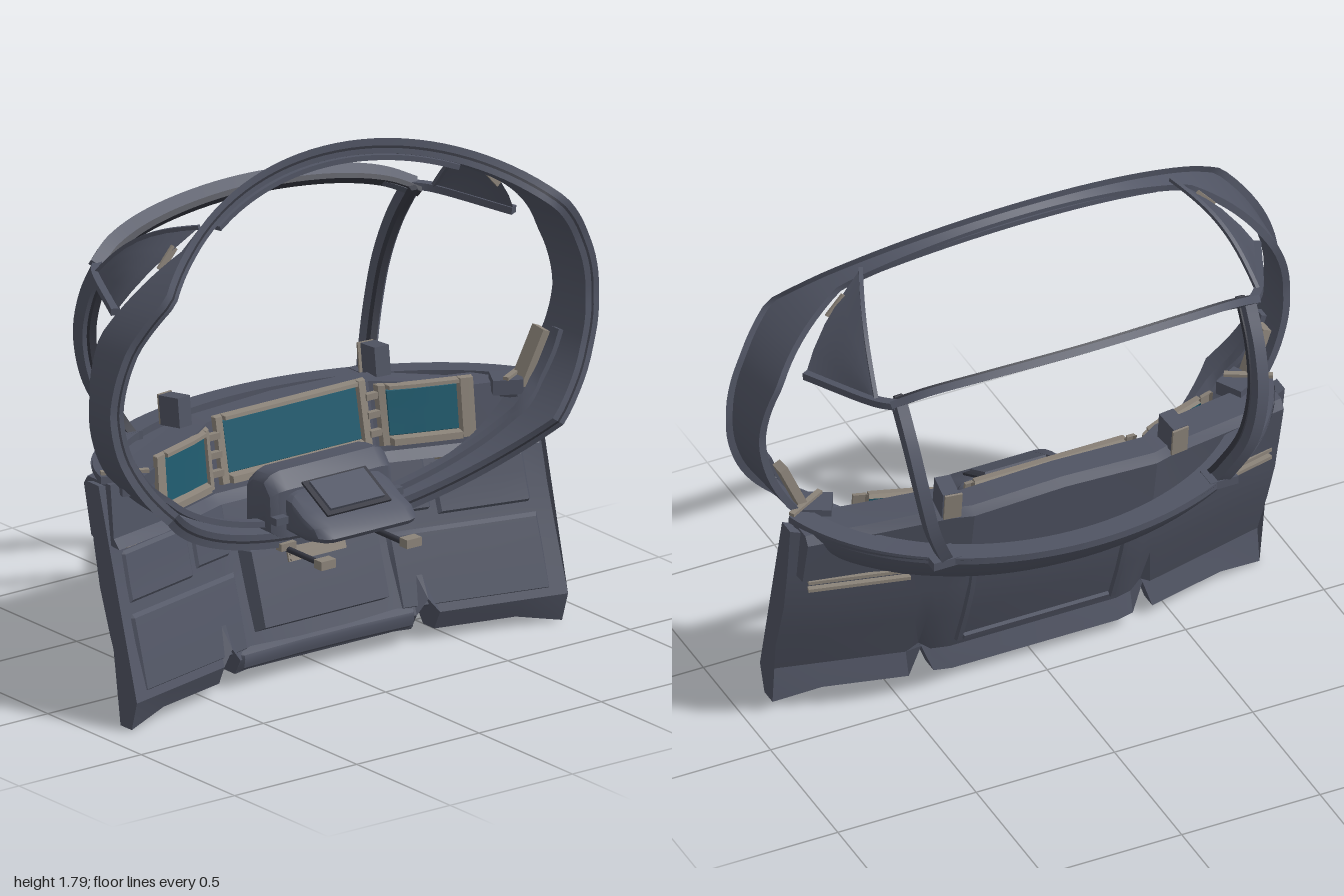
import * as THREE from 'three';
import { toCreasedNormals } from 'three/addons/utils/BufferGeometryUtils.js';

const V = (x, y, z) => new THREE.Vector3(x, y, z);
const paint = (name, color) => {
  const m = new THREE.MeshStandardMaterial({ color, side: THREE.DoubleSide });
  m.name = name;
  return m;
};

// Skin a list of cross-sections, each a list of points
function loft(rows, closed = true, caps = closed, crease = 0.55) {
  const n = rows[0].length, index = [], pos = rows.flat().flatMap(p => [p.x, p.y, p.z]);
  for (let i = 0; i < rows.length - 1; i++) {
    for (let j = 0; j < (closed ? n : n - 1); j++) {
      const a = i * n + j, b = i * n + (j + 1) % n;
      index.push(a, b, b + n, a, b + n, a + n);
    }
  }
  if (caps) for (let j = 1; j < n - 1; j++) {
    const e = (rows.length - 1) * n;
    index.push(0, j + 1, j, e, e + j, e + j + 1);
  }
  const g = new THREE.BufferGeometry();
  g.setAttribute('position', new THREE.Float32BufferAttribute(pos, 3));
  g.setIndex(index);
  return toCreasedNormals(g, crease);
}

// Rectangular beam along a smooth path
function beam(points, width, thick, up = V(0, 1, 0), steps = 28) {
  const curve = new THREE.CatmullRomCurve3(points), rows = [];
  for (let i = 0; i <= steps; i++) {
    const p = curve.getPoint(i / steps), t = curve.getTangent(i / steps);
    const a = t.clone().cross(up).normalize(), b = a.clone().cross(t);
    rows.push([[-1, -1], [1, -1], [1, 1], [-1, 1]].map(([s, r]) =>
      p.clone().addScaledVector(a, s * width / 2).addScaledVector(b, r * thick / 2)));
  }
  return loft(rows);
}

// Raised bevelled plate lying on a surface function
function plate(surface, x0, x1, y0, y1, height, bevel = 0.01) {
  const list = (a, b) => [a, a + bevel, a + (b - a) * 0.35, a + (b - a) * 0.65, b - bevel, b];
  return loft(list(x0, x1).map((x, i) => list(y0, y1).map((y, j) => {
    const p = surface(x, y);
    p.z += i % 5 && j % 5 ? height : 0;
    return p;
  })), false);
}

// Rounded pod: a (z, y) profile swept across x and shrunk towards both ends
function pod(profile, half, cz, cy) {
  const ends = [[1, 0.5], [0.97, 0.75], [0.88, 0.93], [0.75, 1]];
  const stations = [...ends.map(([x, k]) => [-x, k]), ...ends.reverse()];
  return loft(stations.map(([x, k]) => profile.map(([z, y]) => V(x * half, cy + (y - cy) * k, cz + (z - cz) * k))));
}

// Straight table lookup
function lookup(keys, values, t) {
  let i = 0;
  while (i < keys.length - 2 && t > keys[i + 1]) i++;
  const f = THREE.MathUtils.clamp((t - keys[i]) / (keys[i + 1] - keys[i]), 0, 1);
  return values[i] + (values[i + 1] - values[i]) * f;
}

// Oval hoop: front and back edges vary with height
const hoopY = [0.44, 0.6, 0.72, 0.8, 0.95, 1.12, 1.34, 1.5, 1.62, 1.79];
const hoopFront = [0.18, 0.3, 0.395, 0.375, 0.345, 0.333, 0.35, 0.395, 0.305, 0.165];
const hoopBack = [0.13, 0.15, 0.14, 0.125, 0.15, 0.17, 0.155, 0.21, 0.25, 0.145];
function hoopPoint(t, scale, back = 0) {
  const y = 1.115 + 0.675 * Math.sin(t);
  const z = lookup(hoopY, hoopFront, y) * (1 - back) + lookup(hoopY, hoopBack, y) * back;
  return V(scale * Math.cos(t), y - (1 - scale) * 0.95 * Math.sin(t), z);
}
const arc = (from, to, scale, back) => Array.from({ length: 17 }, (_, i) =>
  hoopPoint((from + (to - from) * i / 16) * Math.PI / 180, scale, back));

// Front face of the lower wall: a flat centre with two wings coming forward
const wallBend = x => 0.14 * (1 - Math.max(0, Math.abs(x) - 0.3) / 0.57);
const wallFace = (x, y) => V(x, y, lookup([0.02, 0.1, 0.3, 0.45, 0.6, 0.8], [0.29, 0.31, 0.25, 0.2, 0.16, 0.13], y) - wallBend(x));

// Front face of the instrument console, steeper at the sides
const consoleZ = x => lookup([0, 0.33, 0.64, 0.86], [0, 0, 0.105, 0.15], Math.abs(x));
const consoleTilt = x => lookup([0.33, 0.4], [0.2, 0.1], Math.abs(x));
const consoleFace = (x, y) => V(x, y, consoleZ(x) + 0.02 - (y - 0.62) * consoleTilt(x));

// Curved upper rim of the nose
function rimPoint(u) {
  const f = u * 1.309;
  return V(0.87 * Math.sin(f) / 0.966, 0.785 + 0.03 * u * u, -0.39 + 0.49 * (1 - Math.cos(f)) / 0.741);
}

export function createModel() {
  const model = new THREE.Group();
  const grey = paint('slate grey', 0x505463), dark = paint('dark slate', 0x343640);
  const tan = paint('warm grey', 0x8b8379), teal = paint('screen teal', 0x205b6e);
  const add = (name, geometry, material = grey) => {
    const m = new THREE.Mesh(geometry, material);
    m.name = name;
    model.add(m);
    return m;
  };
  const box = (name, w, h, d, x, y, z, material) => {
    const m = add(name, new THREE.BoxGeometry(w, h, d), material);
    m.position.set(x, y, z);
    return m;
  };

  // Hoop: thin shell, outer flange and inner seals
  const turns = Array.from({ length: 121 }, (_, i) => i / 120 * Math.PI * 2);
  add('hoopShell', loft(turns.map(t => [hoopPoint(t, 0.975), hoopPoint(t, 0.96, 1), hoopPoint(t, 0.935, 1), hoopPoint(t, 0.945)]), true, false));
  add('hoopFlange', loft(turns.map(t => [1, 0.97].map(s => hoopPoint(t, s))), false));
  add('hoopGroove', loft(turns.map(t => [0.975, 0.966].map(s => hoopPoint(t, s).add(V(0, 0, 0.004)))), false), dark);
  add('upperTrim', beam(arc(58, 122, 0.935, 0.3), 0.04, 0.018));
  for (const [a, b] of [[-12, -78], [192, 258]]) add('lowerTrim', beam(arc(a, b, 0.915, 0.5), 0.04, 0.02));

  // Windscreen header: a tilted strip with a dark inner seal
  const header = [V(-0.65, 1.41, -0.19), V(-0.55, 1.455, -0.235), V(-0.35, 1.493, -0.285), V(0, 1.512, -0.315),
    V(0.35, 1.493, -0.285), V(0.55, 1.455, -0.235), V(0.65, 1.41, -0.19)];
  add('headerBar', beam(header, 0.065, 0.025, V(0, 0.77, 0.64), 40));
  add('headerSeal', beam(header.map(p => p.clone().add(V(0, -0.012, 0.022))), 0.02, 0.03, V(0, 0.77, 0.64), 40), dark);

  for (const s of [-1, 1]) {
    // Bowed pillar and its foot
    const pillar = [V(0.63, 1.42, -0.19), V(0.625, 1.28, -0.275), V(0.61, 1.13, -0.325), V(0.575, 0.97, -0.325), V(0.52, 0.84, -0.28), V(0.49, 0.78, -0.25)].map(p => V(p.x * s, p.y, p.z));
    add('pillar', beam(pillar, 0.04, 0.05, V(0, 0, 1)));
    add('pillarSeal', beam(pillar.map(p => p.clone().add(V(-0.012 * s, 0, 0.03))), 0.028, 0.02, V(0, 0, 1)), dark);
    box('pillarFoot', 0.1, 0.03, 0.08, s * 0.5, 0.785, -0.25);

    // Corner web between hoop and header
    const top = V(s * 0.56, 1.65, 0.235), low = V(s * 0.815, 1.38, 0.12), tip = V(s * 0.69, 1.41, -0.15);
    const web = [];
    for (let i = 0; i <= 8; i++) {
      const u = i / 8, bow = Math.sin(u * Math.PI);
      const a = top.clone().lerp(tip, u).add(V(s * 0.02 * bow, 0.04 * bow, -0.015 * bow));
      const b = low.clone().lerp(tip, u);
      web.push([0, 0.25, 0.5, 0.75, 1].map(v => a.clone().lerp(b, v).add(V(s * 0.03 * Math.sin(v * Math.PI) * (1 - u), 0, 0))));
    }
    add('cornerWeb', loft(web, false));
    add('webUpperEdge', beam(web.map(r => r[0]), 0.014, 0.014));
    add('webLowerEdge', beam([low, tip, V(s * 0.645, 1.415, -0.2)], 0.03, 0.025));
    const tag = box('webTag', 0.09, 0.028, 0.008, s * 0.665, 1.555, 0.2, tan);
    tag.rotation.z = -s * 0.85;

    // Stepped plates and trim on each wing of the wall
    const wing = (name, x0, x1, y0, y1, h, m) => add(name, plate(wallFace, ...(s > 0 ? [x0, x1] : [-x1, -x0]), y0, y1, h), m);
    wing('upperWingPlate', 0.5, 0.82, 0.4, 0.565, 0.01);
    wing('lowerWingPlate', 0.31, 0.83, 0.12, 0.365, 0.012);
    wing('wingInnerPlate', 0.31, 0.48, 0.42, 0.6, 0.01);
    wing('wingTrim', 0.52, 0.82, 0.572, 0.602, 0.028, tan);
    for (const y of [0.585, 0.555]) {
      const strip = box('rearTrim', 0.34, 0.012, 0.02, s * 0.67, y, 0.02, tan);
      strip.rotation.y = -s * 0.24;
    }

    // Side instrument hardware
    const tab = box('consoleTab', 0.055, 0.1, 0.09, s * 0.41, 0.895, -0.09);
    tab.rotation.set(-0.12, -s * 0.12, 0);
    const tabEdge = box('consoleTabEdge', 0.06, 0.1, 0.008, s * 0.41, 0.89, -0.142, tan);
    tabEdge.rotation.set(-0.12, -s * 0.12, 0);
    const fin = box('sideFin', 0.03, 0.2, 0.06, s * 0.835, 0.89, 0.18, tan);
    fin.rotation.set(0.1, 0, -s * 0.4);
    const wedge = box('sideWedge', 0.1, 0.05, 0.1, s * 0.76, 0.805, 0.15);
    wedge.rotation.y = -s * 0.5;
    const cap = box('sideWedgeTrim', 0.16, 0.012, 0.02, s * 0.8, 0.835, 0.15, tan);
    cap.rotation.y = s * 0.5;
    for (const y of [0.69, 0.75, 0.81]) {
      const p = consoleFace(s * 0.325, y);
      box('screenHinge', 0.05, 0.022, 0.02, p.x, p.y, p.z + 0.015, tan);
    }

    // Pedal on a rod
    const rod = add('pedalRod', new THREE.CylinderGeometry(0.01, 0.01, 0.33, 10).rotateX(Math.PI / 2), dark);
    rod.position.set(s * 0.17, 0.445, 0.24);
    box('pedal', 0.06, 0.03, 0.04, s * 0.175, 0.455, 0.405, tan);
    box('podHandle', 0.05, 0.025, 0.03, s * 0.235, 0.57, 0.24);
  }

  // Nose shell and its thick rim
  const steps = Array.from({ length: 41 }, (_, i) => i / 20 - 1);
  add('noseShell', loft(steps.map(u => {
    const a = rimPoint(u), c = Math.cos(u * Math.PI / 2), b = V(a.x, 0.8 - 0.29 * Math.pow(Math.max(c, 0), 0.8), 0.1 - 0.1 * c);
    return Array.from({ length: 9 }, (_, j) => {
      const v = j / 8, bulge = 0.16 * v * (1 - v) * c;
      return a.clone().lerp(b, v).add(V(0, -bulge, -bulge));
    });
  }), false));
  const rim = steps.map(rimPoint);
  add('noseRim', beam(rim.map(p => V(p.x * 0.965, p.y - 0.005, p.z + 0.035)), 0.075, 0.025, V(0, 1, 0), 48));
  add('noseLedge', beam(rim.map(p => V(p.x * 0.92, p.y - 0.04, p.z + 0.085)), 0.06, 0.03, V(0, 1, 0), 48));

  // Lower wall with two notches in its bottom edge
  const wallX = [-0.88, -0.72, -0.44, -0.4, -0.36, -0.3, 0, 0.3, 0.36, 0.4, 0.44, 0.72, 0.88];
  const wallSection = [[0.8, 0.13], [0.6, 0.16], [0.45, 0.2], [0.3, 0.25], [0.1, 0.32], [0, 0.29],
    [0, 0.23], [0.12, 0.25], [0.3, 0.18], [0.45, 0.13], [0.6, 0.1], [0.8, 0.07]];
  add('lowerWall', loft(wallX.map(x => {
    const bottom = lookup([0, 0.36, 0.4, 0.44, 0.72, 0.76], [0.045, 0.045, 0.15, 0.035, 0.035, 0], Math.abs(x));
    const high = lookup([0, 0.6, 0.8, 0.88], [0.66, 0.68, 0.8, 0.8], Math.abs(x));
    return wallSection.map(([y, z]) => V(x * (1 + 0.02 * y), THREE.MathUtils.clamp(y, bottom, high), z - wallBend(x)));
  }), true, true, 0.3));
  add('centreBox', plate(wallFace, -0.275, 0.275, 0.165, 0.45, 0.045, 0.022));
  add('kickPlate', plate(wallFace, -0.36, 0.36, 0.055, 0.13, 0.02, 0.015));
  add('grille', plate(wallFace, -0.12, 0.12, 0.368, 0.425, 0.052, 0.003), tan);
  for (let i = 0; i < 3; i++) add('grilleSlat', plate(wallFace, -0.115, 0.115, 0.372 + i * 0.018, 0.384 + i * 0.018, 0.06, 0.003), tan);

  // Raised frame on the rear of the wall
  const rearFace = (x, y) => V(x, y, lookup([0.12, 0.3, 0.45, 0.6], [0.25, 0.18, 0.13, 0.1], y) - wallBend(x));
  for (const [a, b, c, d] of [[-0.29, -0.265, 0.15, 0.55], [0.265, 0.29, 0.15, 0.55], [-0.265, 0.265, 0.15, 0.175]])
    add('rearFrame', plate(rearFace, a, b, c, d, -0.015, 0.004));

  // Instrument console following the screens
  add('console', loft([-0.86, -0.64, -0.4, -0.33, 0, 0.33, 0.4, 0.64, 0.86].map(x => {
    const z = consoleZ(x), h = lookup([0, 0.4, 0.64, 0.86], [0.865, 0.85, 0.81, 0.8], Math.abs(x));
    return [[0.6, -0.1], [h - 0.03, -0.14], [h, -0.12], [h, 0.02 - (h - 0.62) * consoleTilt(x)], [0.62, 0.02], [0.59, 0.05]]
      .map(([y, d]) => V(x, y, z + d));
  }), true, true, 0.3));

  // Framed screens with left and right frame widths; the sills stand out further
  for (const [x0, x1, y0, y1, wl, wr] of [[-0.275, 0.275, 0.675, 0.85, 0.035, 0.035], [0.37, 0.6, 0.67, 0.825, 0.028, 0.05], [-0.6, -0.37, 0.67, 0.825, 0.05, 0.028]]) {
    const w = 0.03, t = 0.02;
    add('screen', plate(consoleFace, x0, x1, y0, y1, 0.008, 0.004), teal);
    for (const [a, b, c, d, h] of [[x0 - wl, x0, y0 - w, y1 + t, 0.018], [x1, x1 + wr, y0 - w, y1 + t, 0.018],
      [x0, x1, y0 - w, y0, 0.03], [x0, x1, y1, y1 + t, 0.026]])
      add('screenFrame', plate(consoleFace, a, b, c, d, h, 0.004), tan);
  }

  // Control pod: wide hood behind, sloping tray in front
  add('podHood', pod([[0.06, 0.5], [0.06, 0.67], [0.1, 0.71], [0.18, 0.715], [0.225, 0.66], [0.235, 0.5]], 0.255, 0.14, 0.58));
  add('podTray', pod([[0.2, 0.52], [0.2, 0.655], [0.24, 0.65], [0.32, 0.605], [0.4, 0.575], [0.43, 0.54], [0.42, 0.525], [0.34, 0.51]], 0.205, 0.31, 0.55));
  const face = box('podFace', 0.26, 0.008, 0.16, 0, 0.633, 0.29, dark);
  face.rotation.x = 0.5;
  const cover = box('podCover', 0.22, 0.02, 0.13, 0, 0.637, 0.29);
  cover.rotation.x = 0.5;
  add('podStem', new THREE.CylinderGeometry(0.07, 0.09, 0.18, 16).rotateX(1.1)).position.set(0, 0.53, 0.12);
  for (const s of [-1, 1]) box('podFoot', 0.06, 0.025, 0.03, s * 0.17, 0.455, 0.19, tan);
  return model;
}
